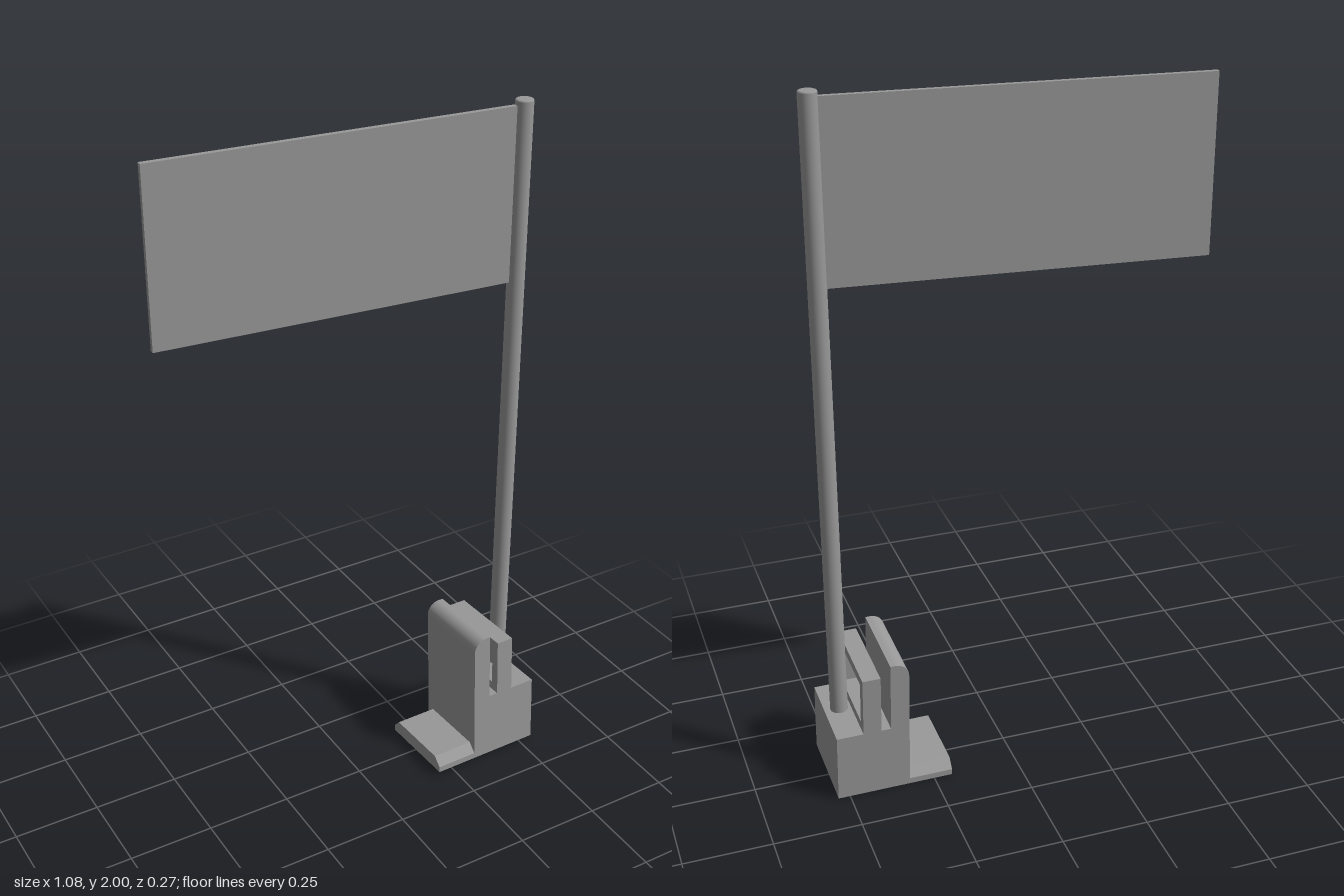
import * as THREE from 'three';

const material = new THREE.MeshStandardMaterial({ color: 0x999999 });

function add(parent, geometry, name, x = 0, y = 0, z = 0) {
  const mesh = new THREE.Mesh(geometry, material);
  mesh.name = name;
  mesh.position.set(x, y, z);
  parent.add(mesh);
  return mesh;
}

const polygon = (points) => new THREE.Shape(points.map(([x, y]) => new THREE.Vector2(x, y)));
const extrude = (shape, depth) =>
  new THREE.ExtrudeGeometry(shape, { depth, bevelEnabled: false, curveSegments: 12 });

export function createModel() {
  const model = new THREE.Group();
  model.name = 'flagOnClip';

  // Clip base, slightly tilted and turned
  const clip = new THREE.Group();
  clip.name = 'clip';
  clip.position.set(0.368, 0.006, 0.009);
  clip.rotation.set(-0.045, 0.012, 0.006);
  model.add(clip);

  const width = 0.254;
  const half = width / 2;

  // Block and tall back plate with one rounded top edge
  const profile = new THREE.Shape();
  profile.moveTo(-0.043, 0);
  profile.lineTo(0.168, 0);
  profile.lineTo(0.168, 0.209);
  profile.lineTo(0.011, 0.209);
  profile.lineTo(0.011, 0.421);
  profile.lineTo(-0.003, 0.421);
  profile.absarc(-0.003, 0.381, 0.04, Math.PI / 2, Math.PI, false);
  profile.closePath();
  add(clip, extrude(profile, width), 'blockAndBackPlate', 0, 0, -half);

  // Front jaw plate with a rectangular window
  const jaw = polygon([[-half, 0.205], [half, 0.205], [half, 0.388], [-half, 0.388]]);
  jaw.holes.push(polygon([[-0.1, 0.235], [-0.1, 0.361], [0.1, 0.361], [0.1, 0.235]]));
  add(clip, extrude(jaw, 0.052).rotateY(Math.PI / 2), 'windowedJaw', 0.039);

  // Low foot with sloping sides
  const foot = polygon([
    [-half, 0], [half, 0], [half, 0.018], [half - 0.025, 0.044], [-half + 0.025, 0.044], [-half, 0.018],
  ]);
  add(clip, extrude(foot, 0.13).rotateY(Math.PI / 2), 'foot', -0.17);

  // Pole with a softened top edge
  const poleProfile = [[0, 0], [0.025, 0], [0.025, 1.766], [0.0235, 1.7695], [0.02, 1.771], [0, 1.771]];
  const pole = new THREE.LatheGeometry(poleProfile.map(([r, y]) => new THREE.Vector2(r, y)), 32);
  add(model, pole, 'pole', 0.496, 0.229, -0.01);

  // Flag panel, swung a little backwards
  const flag = add(model, new THREE.BoxGeometry(1.02, 0.488, 0.015), 'flag', -0.031, 1.741, -0.056);
  flag.rotation.y = -0.085;

  return model;
}
